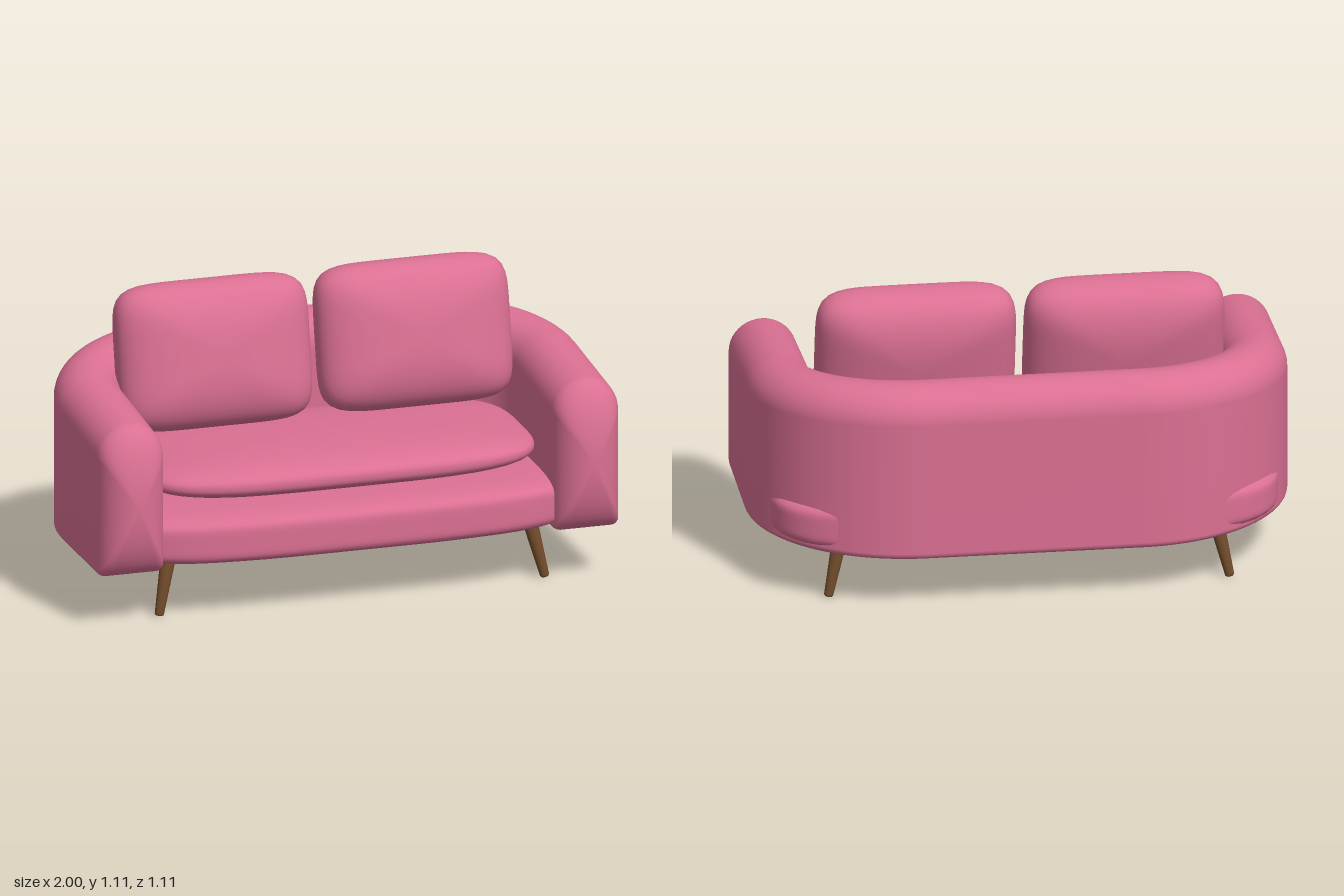
import * as THREE from 'three';
import { mergeVertices } from 'three/addons/utils/BufferGeometryUtils.js';

const fabric = new THREE.MeshStandardMaterial({ color: 0xdb7093 });
fabric.name = 'pink fabric';
const wood = new THREE.MeshStandardMaterial({ color: 0x6f4a2a });
wood.name = 'brown wood';

function part(name, geometry, material) {
  const mesh = new THREE.Mesh(geometry, material);
  mesh.name = name;
  return mesh;
}

// Superellipsoid pad: p rounds the plan outline, q rounds the thickness (along y)
function pad(rx, ry, rz, p, q) {
  let geo = new THREE.SphereGeometry(1, 80, 40);
  geo.deleteAttribute('uv');
  geo.deleteAttribute('normal');
  geo = mergeVertices(geo, 1e-5);
  const pos = geo.attributes.position;
  for (let i = 0; i < pos.count; i++) {
    const x = pos.getX(i), y = pos.getY(i), z = pos.getZ(i);
    const plan = (Math.abs(x) ** p + Math.abs(z) ** p) ** (q / p);
    const k = 1 / (plan + Math.abs(y) ** q) ** (1 / q);
    pos.setXYZ(i, x * k * rx, y * k * ry, z * k * rz);
  }
  geo.computeVertexNormals();
  return geo;
}

// Arm and back cross-section (offset from centre line, height), counter-clockwise
const HALF = 0.125, BOTTOM = 0.2;
function section(top) {
  const pts = [];
  const arc = (cx, cy, r, from, to, steps) => {
    for (let i = 0; i <= steps; i++) {
      const a = from + (to - from) * i / steps;
      pts.push([cx + r * Math.cos(a), cy + r * Math.sin(a)]);
    }
  };
  const r = 0.025;
  arc(-HALF + r, BOTTOM + r, r, Math.PI, Math.PI * 1.5, 4);
  arc(HALF - r, BOTTOM + r, r, Math.PI * 1.5, Math.PI * 2, 4);
  arc(0, top - HALF, HALF, 0, Math.PI, 20);
  return pts;
}

// U-shaped shell: domed front ends, straight arms, elliptical corners, straight back
function shellGeometry() {
  const FRONT = 0.43, MID = 0.48;
  const half = [];
  for (let i = 0; i <= 10; i++) {
    const a = Math.PI / 2 * (1 - i / 10);
    half.push({ x: 0.875, z: FRONT + HALF * Math.sin(a), nx: 1, nz: 0, s: i ? Math.cos(a) : 0 });
  }
  for (let i = 1; i < 5; i++) half.push({ x: 0.875, z: FRONT * (1 - i / 5), nx: 1, nz: 0, s: 1 });
  for (let i = 0; i <= 24; i++) {
    const a = Math.PI / 2 * i / 24, c = Math.cos(a), s = Math.sin(a);
    const len = Math.hypot(c / 0.475, s / 0.43);
    half.push({ x: 0.4 + 0.475 * c, z: -0.43 * s, nx: c / 0.475 / len, nz: -s / 0.43 / len, s: 1 });
  }
  half.push({ x: 0.2, z: -0.43, nx: 0, nz: -1, s: 1 });
  const stations = [...half, ...half.slice().reverse().map(o => ({ ...o, x: -o.x, nx: -o.nx }))];

  const verts = [], index = [];
  let n = 0;
  stations.forEach((o, i) => {
    const top = 0.78 + (FRONT - Math.min(o.z, FRONT)) / 0.86 * 0.075;
    const ring = section(top);
    n = ring.length;
    ring.forEach(([d, y], j) => {
      verts.push(o.x + o.nx * d * o.s, MID + (y - MID) * o.s, o.z + o.nz * d * o.s);
      if (i + 1 < stations.length) {
        const k = (j + 1) % n, a = i * n + j, b = a + n, c = (i + 1) * n + k, e = i * n + k;
        index.push(a, b, c, a, c, e);
      }
    });
  });
  let geo = new THREE.BufferGeometry();
  geo.setAttribute('position', new THREE.Float32BufferAttribute(verts, 3));
  geo.setIndex(index);
  geo = mergeVertices(geo, 1e-5);
  geo.computeVertexNormals();
  return geo;
}

// Splayed tapered leg with a softened foot
function leg(sx, sz) {
  const profile = [[0, 0], [0.012, 0], [0.017, 0.006], [0.03, 0.25], [0, 0.25]];
  const geo = new THREE.LatheGeometry(profile.map(([x, y]) => new THREE.Vector2(x, y)), 20);
  const mesh = part('leg', geo, wood);
  const axis = new THREE.Vector3(-0.045 * sx, 0.2, -0.034 * sz).normalize();
  mesh.quaternion.setFromUnitVectors(new THREE.Vector3(0, 1, 0), axis);
  mesh.position.set(0.742 * sx, 0.004, 0.376 * sz);
  return mesh;
}

export function createModel() {
  const model = new THREE.Group();
  model.name = 'sofa';

  model.add(part('armsAndBack', shellGeometry(), fabric));

  const base = part('seatBase', pad(0.95, 0.1, 0.52, 4, 6), fabric);
  base.position.y = 0.3;
  model.add(base);

  const seat = part('seatCushion', pad(0.755, 0.077, 0.37, 4, 2.6), fabric);
  seat.position.set(0, 0.475, 0.06);
  model.add(seat);

  for (const side of [1, -1]) {
    // Back cushions lean backwards
    const geo = pad(0.37, 0.155, 0.274, 6, 2.4).rotateX(Math.PI / 2);
    const cushion = part(side > 0 ? 'leftBackCushion' : 'rightBackCushion', geo, fabric);
    cushion.position.set(0.385 * side, 0.835, -0.0975);
    cushion.rotation.x = -0.2;
    model.add(cushion);
    for (const end of [1, -1]) model.add(leg(side, end));
  }
  return model;
}
